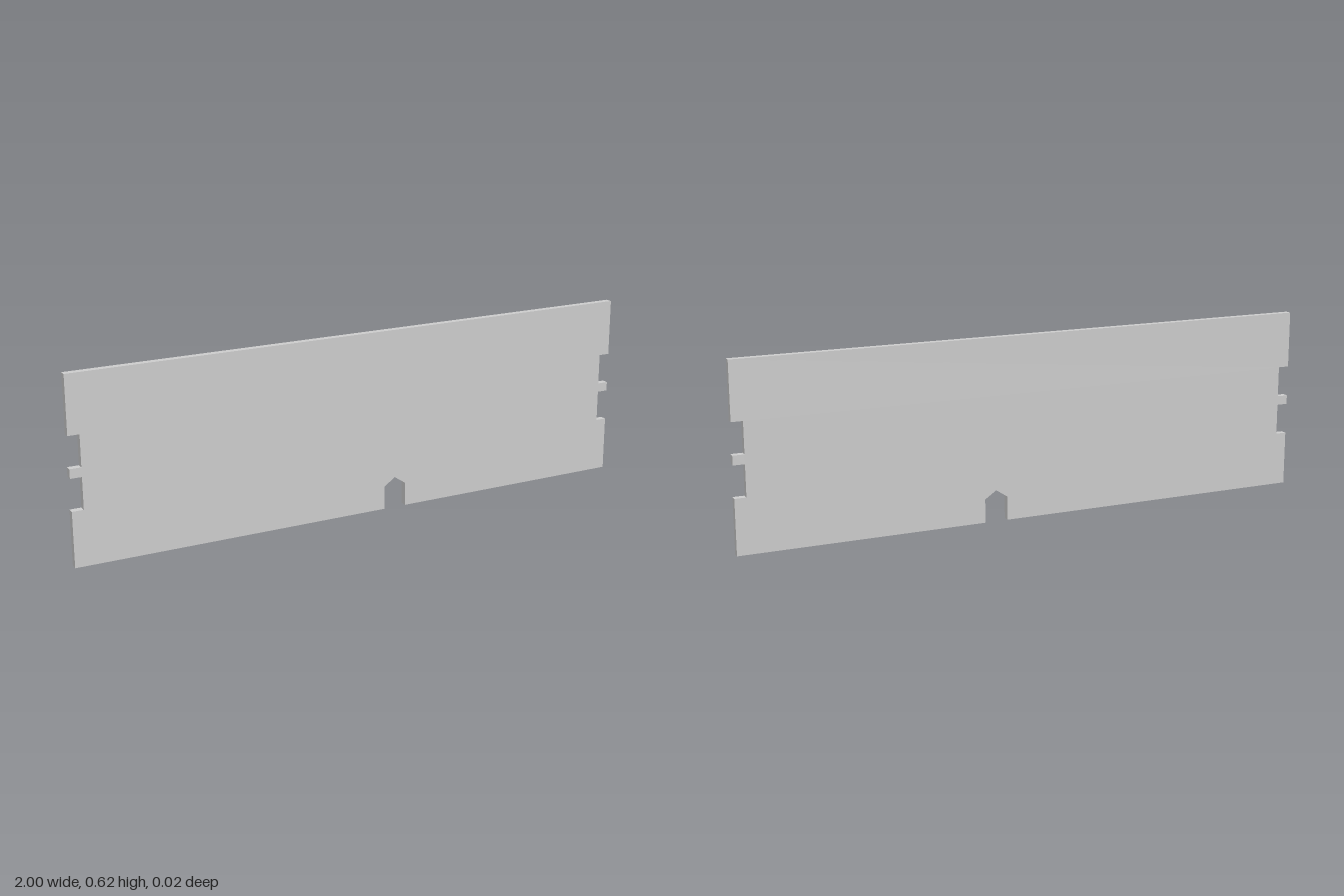
import * as THREE from 'three';

const HEIGHT = 0.62, THICKNESS = 0.023, SLOT_DEPTH = 0.038;

export function createModel() {
  const group = new THREE.Group();
  group.name = 'notchedPanel';

  // Right-hand edge going up, with two joint slots
  const inner = 1 - SLOT_DEPTH;
  const edge = [[1, 0]];
  for (const [low, high] of [[0.185, 0.291], [0.322, 0.427]]) {
    edge.push([1, low], [inner, low], [inner, high], [1, high]);
  }
  edge.push([1, HEIGHT]);

  // The other edge is its mirror image, going down
  const mirrored = edge.map(([x, y]) => [-x, y]).reverse();

  // Pointed notch in the bottom edge
  const notchX = 0.127, half = 0.04;
  const notch = [
    [notchX - half, 0], [notchX - half, 0.08], [notchX, 0.107],
    [notchX + half, 0.08], [notchX + half, 0],
  ];

  const outline = [...edge, ...mirrored, ...notch].map(([x, y]) => new THREE.Vector2(x, y));
  const geometry = new THREE.ExtrudeGeometry(new THREE.Shape(outline), {
    depth: THICKNESS, bevelEnabled: false,
  });
  geometry.translate(0, 0, -THICKNESS / 2);

  const panel = new THREE.Mesh(
    geometry,
    new THREE.MeshStandardMaterial({ color: 0xcccccc, flatShading: true }),
  );
  panel.name = 'panel';
  group.add(panel);
  return group;
}
